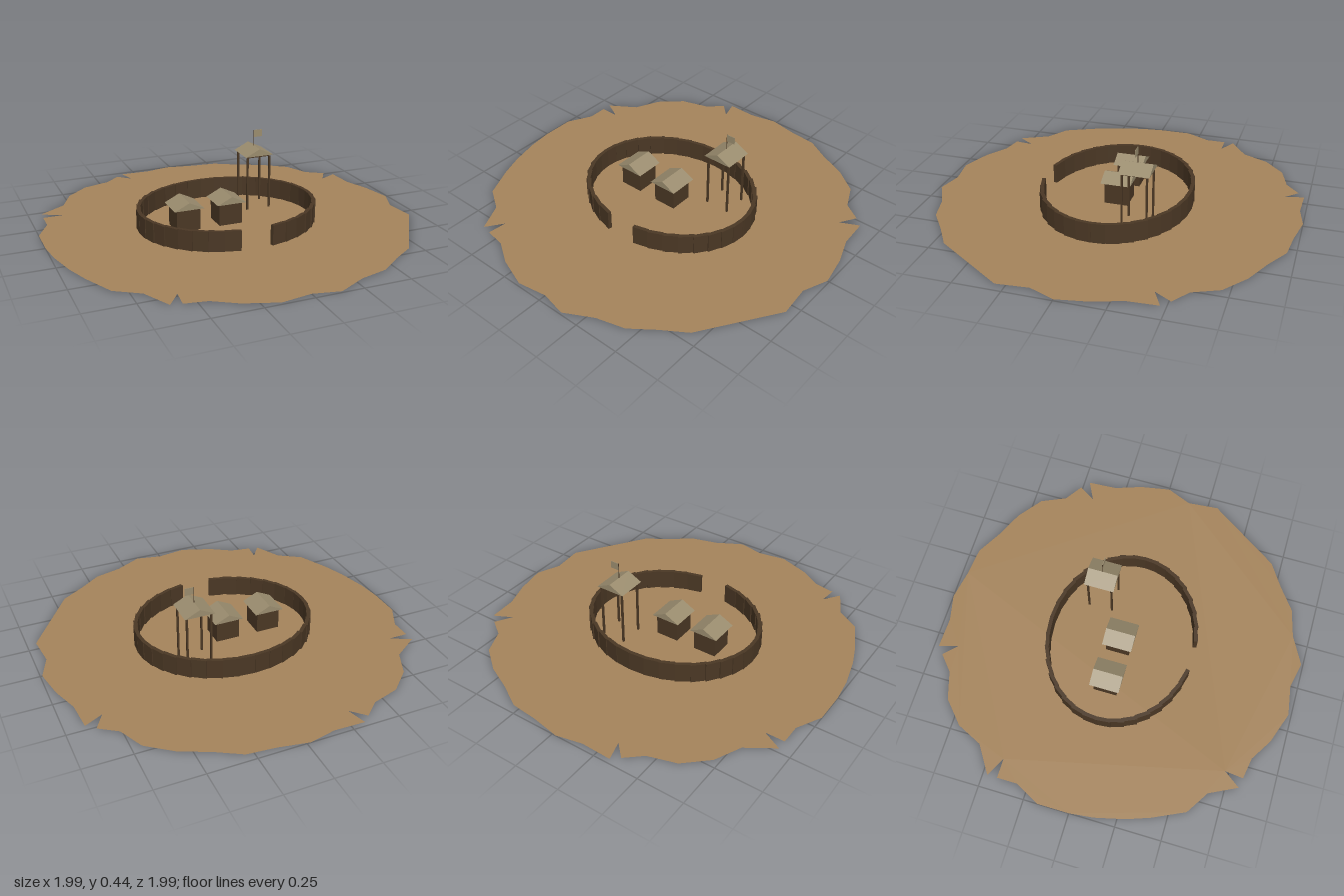
import * as THREE from 'three';

const mat = (name, color, side = THREE.FrontSide) => {
  const m = new THREE.MeshStandardMaterial({ color, side });
  m.name = name;
  return m;
};

// Ragged ground outline as x, z pairs
const OUTLINE = [
  -0.02, -1, 0.14, -0.97, 0.29, -0.955, 0.42, -0.88, 0.57, -0.81, 0.7, -0.71, 0.76, -0.575,
  0.855, -0.51, 0.8, -0.42, 0.9, -0.47, 0.91, -0.31, 0.96, -0.165, 0.99, 0, 0.935, 0.135,
  0.95, 0.305, 0.69, 0.695, 0.56, 0.78, 0.44, 0.87, 0.29, 0.91, 0.14, 0.99, 0, 0.96,
  -0.16, 0.985, -0.33, 0.925, -0.45, 0.85, -0.565, 0.83, -0.555, 0.73, -0.62, 0.82,
  -0.695, 0.67, -0.82, 0.59, -0.9, 0.42, -0.945, 0.295, -0.985, 0.13, -1, 0, -1, -0.175,
  -0.93, -0.31, -0.93, -0.42, -0.825, -0.42, -0.93, -0.475, -0.785, -0.57, -0.72, -0.71,
  -0.6, -0.82, -0.45, -0.865, -0.365, -0.94, -0.295, -0.87, -0.325, -0.975, -0.16, -0.97,
];

export function createModel() {
  const earth = mat('earth', 0xa5845b, THREE.DoubleSide);
  const wood = mat('dark wood', 0x4a3724);
  const thatch = mat('thatch', 0x9a8c6e);
  const model = new THREE.Group();
  model.name = 'palisadeCamp';

  const add = (parent, name, geometry, material, x = 0, y = 0, z = 0) => {
    const mesh = new THREE.Mesh(geometry, material);
    mesh.name = name;
    mesh.position.set(x, y, z);
    parent.add(mesh);
    return mesh;
  };
  const box = (parent, name, w, h, d, material, x, y, z) =>
    add(parent, name, new THREE.BoxGeometry(w, h, d), material, x, y, z);
  const group = (name, x, z) => {
    const g = new THREE.Group();
    g.name = name;
    g.position.set(x, 0, z);
    model.add(g);
    return g;
  };

  // Gable roof with its ridge along z
  const gable = new THREE.ExtrudeGeometry(
    new THREE.Shape([[-0.082, 0], [0.082, 0], [0, 0.04]].map(([x, y]) => new THREE.Vector2(x, y))),
    { depth: 0.164, bevelEnabled: false },
  ).translate(0, 0, -0.082);

  // Ground sheet
  const points = [];
  for (let i = 0; i < OUTLINE.length; i += 2) points.push(new THREE.Vector2(OUTLINE[i], -OUTLINE[i + 1]));
  const sheet = new THREE.ShapeGeometry(new THREE.Shape(points)).rotateX(-Math.PI / 2);
  add(model, 'ground', sheet, earth, 0, 0.001, 0);

  // Oval palisade with a gate opening towards the front
  const wall = group('palisade', -0.016, 0);
  for (let i = 0; i < 34; i++) {
    const a = THREE.MathUtils.degToRad(15 + i * 10);
    const plank = box(wall, 'wallPanel', 0.084, 0.108, 0.02, wood,
      0.48 * Math.sin(a), 0.056, 0.4 * Math.cos(a));
    plank.rotation.y = a;
  }

  // Two huts
  for (const x of [-0.255, -0.015]) {
    const hut = group('hut', x, -0.007);
    box(hut, 'hutWalls', 0.13, 0.122, 0.13, wood, 0, 0.061, 0);
    add(hut, 'hutRoof', gable, thatch, 0, 0.122, 0);
  }

  // Watchtower with four posts, platform, roof and flag
  const tower = group('watchtower', 0.22, -0.175);
  for (const x of [-1, 1]) {
    for (const z of [-1, 1]) {
      box(tower, 'towerPost', 0.01, 0.3, 0.01, wood, x * 0.066, 0.152, z * 0.066);
    }
  }
  box(tower, 'platform', 0.13, 0.012, 0.13, wood, 0, 0.307, 0);
  add(tower, 'towerRoof', gable, thatch, 0, 0.312, 0);
  add(tower, 'flagPole', new THREE.CylinderGeometry(0.002, 0.002, 0.1, 6), wood, 0, 0.39, 0);
  box(tower, 'flag', 0.048, 0.04, 0.003, thatch, 0.025, 0.42, 0);

  return model;
}
